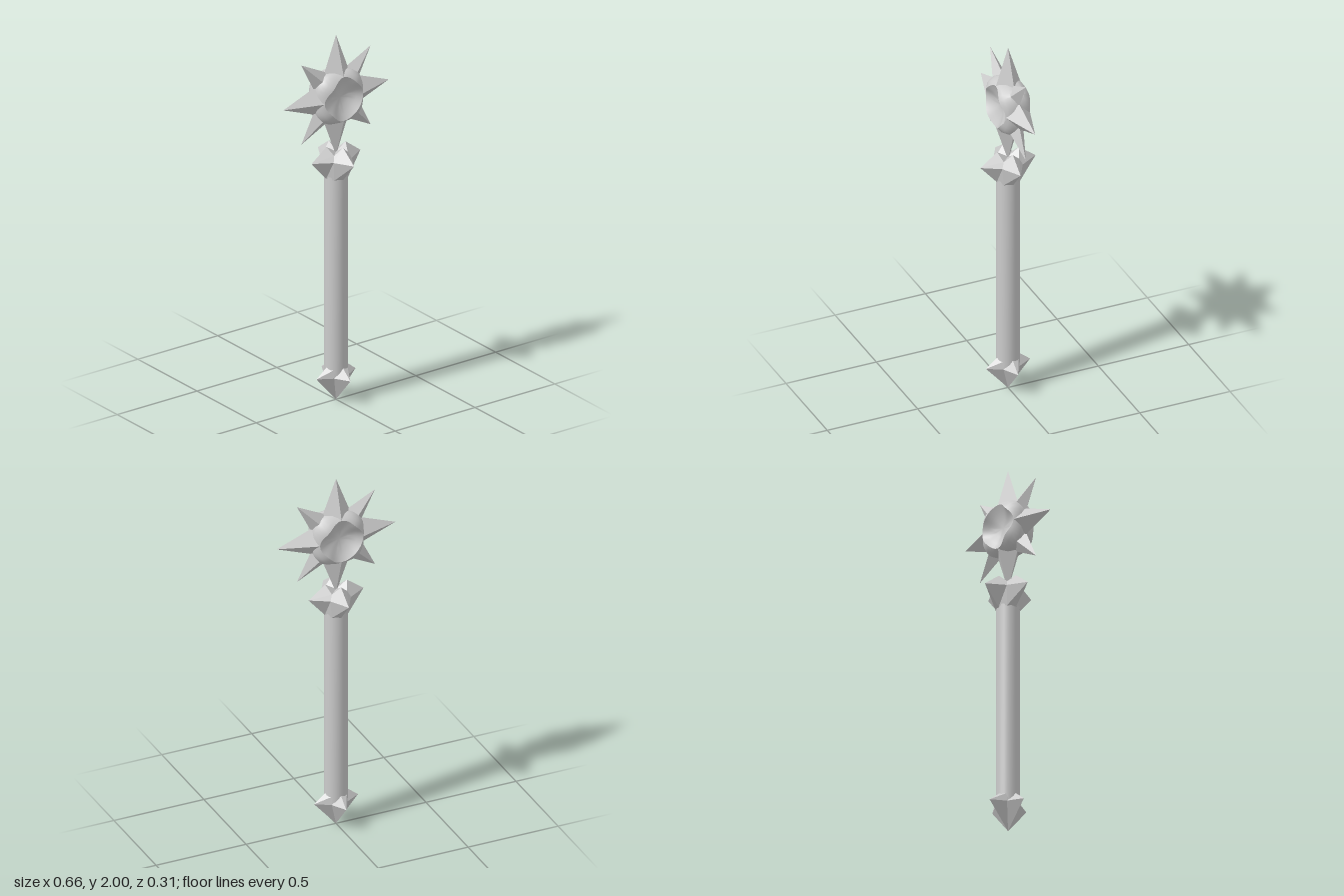
import * as THREE from 'three';
import { toCreasedNormals } from 'three/addons/utils/BufferGeometryUtils.js';

const smooth = new THREE.MeshStandardMaterial({ color: 0xcccccc });
const faceted = new THREE.MeshStandardMaterial({ color: 0xcccccc, flatShading: true });

function add(parent, name, geometry, material) {
  const mesh = new THREE.Mesh(geometry, material);
  mesh.name = name;
  parent.add(mesh);
  return mesh;
}

// Skins rings stacked along y. Each ring is [rAxis, yAxis, rDiagonal, yDiagonal]:
// its radius and height on the x/z axes, and on the diagonals between them.
function fourfoldLoft(rings, sides) {
  const positions = [];
  const point = (ring, j) => {
    const a = (j / sides) * Math.PI * 2;
    const t = Math.sin(2 * a) ** 2;
    const r = THREE.MathUtils.lerp(ring[0], ring[2], t);
    return [r * Math.sin(a), THREE.MathUtils.lerp(ring[1], ring[3], t), r * Math.cos(a)];
  };
  for (let i = 0; i < rings.length - 1; i++) {
    for (let j = 0; j < sides; j++) {
      const a = point(rings[i], j), b = point(rings[i], j + 1);
      const c = point(rings[i + 1], j + 1), d = point(rings[i + 1], j);
      if (rings[i][0] > 0) positions.push(...a, ...b, ...c);
      if (rings[i + 1][0] > 0) positions.push(...a, ...c, ...d);
    }
  }
  const geometry = new THREE.BufferGeometry();
  geometry.setAttribute('position', new THREE.Float32BufferAttribute(positions, 3));
  geometry.computeVertexNormals();
  return geometry;
}

// Four-sided spike pointing away from the head's centre in the x/y plane
function addSpike(head, name, angle, inner, tip, halfWidth, halfDepth) {
  const geometry = new THREE.ConeGeometry(1, tip - inner, 4);
  geometry.scale(halfWidth, 1, halfDepth);
  geometry.translate(0, (tip + inner) / 2, 0);
  geometry.rotateZ(angle);
  add(head, name, geometry, faceted);
}

export function createModel() {
  const model = new THREE.Group();
  model.name = 'mace';

  // Shaft
  const shaft = add(model, 'shaft', new THREE.CylinderGeometry(0.06, 0.06, 1.22, 24), smooth);
  shaft.geometry = toCreasedNormals(shaft.geometry, 0.6);
  shaft.position.y = 0.75;

  // Four-pointed pommel, ending in a point
  add(model, 'pommel', fourfoldLoft([
    [0, 0, 0, 0],
    [0.122, 0.14, 0.063, 0.14],
    [0.06, 0.19, 0.058, 0.185],
    [0, 0.19, 0, 0.19],
  ], 8), faceted);

  // Four-pointed collar with a notched top
  add(model, 'collar', fourfoldLoft([
    [0, 1.225, 0, 1.225],
    [0.062, 1.225, 0.062, 1.225],
    [0.153, 1.33, 0.08, 1.33],
    [0.06, 1.4, 0.06, 1.36],
    [0, 1.36, 0, 1.36],
  ], 8), faceted);

  // Head
  const head = new THREE.Group();
  head.name = 'head';
  head.position.y = 1.67;
  model.add(head);

  // Hub: a thick disc with a concave dish in the front and the back
  const half = [
    [0.14, 0.03, 0.155, 0.035],
    [0.13, 0.055, 0.135, 0.067],
    [0.12, 0.067, 0.105, 0.083],
    [0.09, 0.052, 0.08, 0.058],
    [0.05, 0.038, 0.045, 0.039],
    [0, 0.033, 0, 0.033],
  ];
  const back = half.map(([ra, ya, rd, yd]) => [ra, -ya, rd, -yd]).reverse();
  const hub = fourfoldLoft([...back, ...half], 40);
  hub.rotateX(Math.PI / 2);
  add(head, 'hub', toCreasedNormals(hub, 0.6), smooth);

  // Four long spikes on the axes, four slim ones between them
  for (let i = 0; i < 4; i++) {
    const angle = (i * Math.PI) / 2;
    addSpike(head, 'longSpike', angle, 0.12, 0.33, 0.08, 0.067);
    addSpike(head, 'slimSpike', angle + Math.PI / 4, 0.13, 0.307, 0.059, 0.042);
  }

  return model;
}
